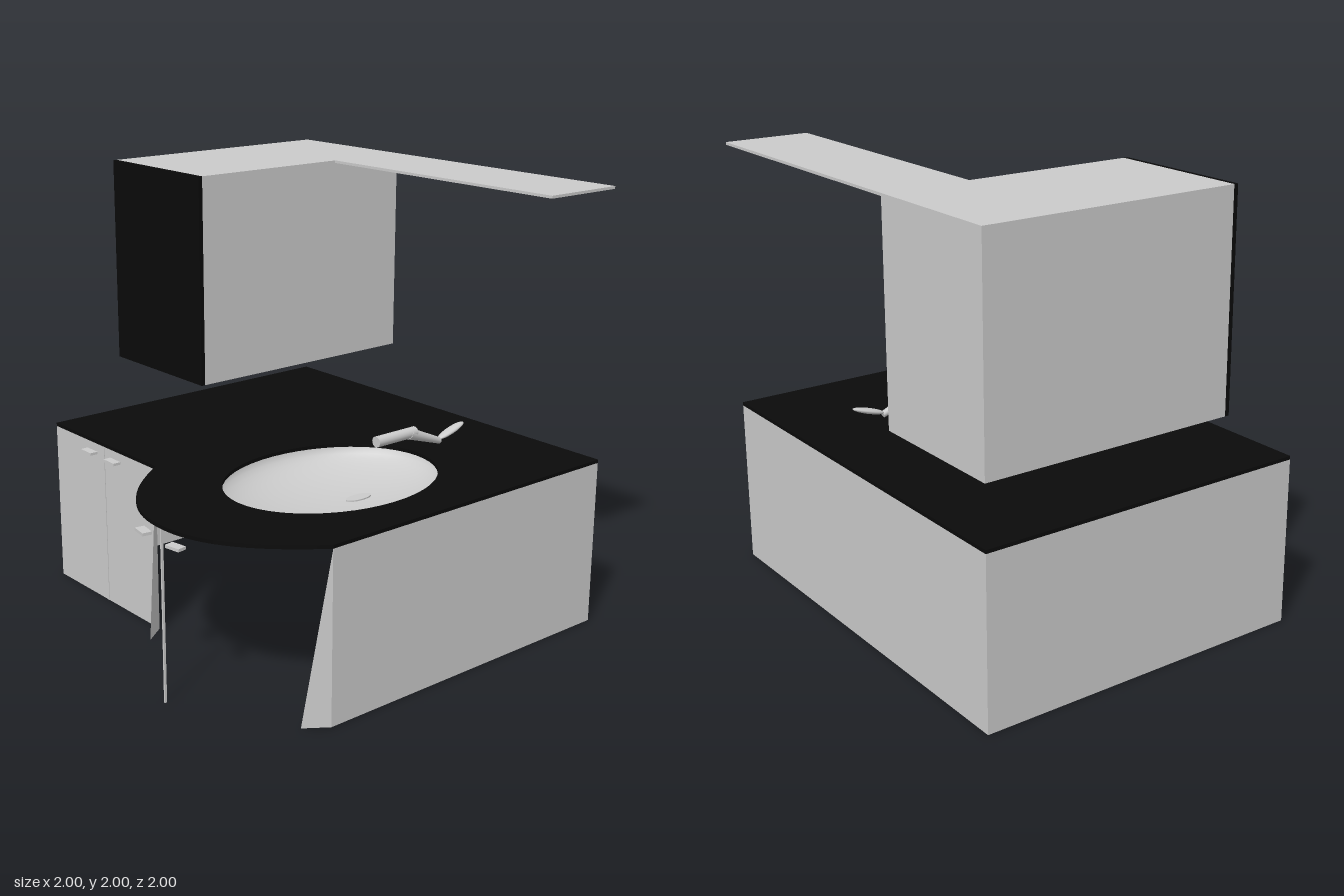
import * as THREE from 'three';

const grey = new THREE.MeshStandardMaterial({ color: 0xcccccc });
const sheet = new THREE.MeshStandardMaterial({ color: 0xcccccc, side: THREE.DoubleSide });
const black = new THREE.MeshStandardMaterial({ color: 0x0a0a0a });

const TOP = 0.78, SLAB = 0.016, WALL = TOP - SLAB;
const FRONT = 0.57, BASIN_X = 0.41, BASIN_Z = 0.06, HALF = 0.59;

function add(parent, name, geometry, material = grey) {
  const mesh = new THREE.Mesh(geometry, material);
  mesh.name = name;
  parent.add(mesh);
  return mesh;
}

// Box given by its minimum and maximum corners
function box(parent, name, [x0, y0, z0], [x1, y1, z1], material) {
  const mesh = add(parent, name, new THREE.BoxGeometry(x1 - x0, y1 - y0, z1 - z0), material);
  mesh.position.set((x0 + x1) / 2, (y0 + y1) / 2, (z0 + z1) / 2);
  return mesh;
}

// Thin upright panel between two floor points
function panel(parent, name, [xa, za], [xb, zb]) {
  const mesh = add(parent, name, new THREE.PlaneGeometry(Math.hypot(xb - xa, zb - za), WALL), sheet);
  mesh.position.set((xa + xb) / 2, WALL / 2, (za + zb) / 2);
  mesh.rotation.y = Math.atan2(-(zb - za), xb - xa);
}

// Round rod from a to b
function rod(parent, name, a, b, ra, rb) {
  const from = new THREE.Vector3(...a), to = new THREE.Vector3(...b);
  const dir = to.clone().sub(from);
  const mesh = add(parent, name, new THREE.CylinderGeometry(rb, ra, dir.length(), 20));
  mesh.position.copy(from).add(to).multiplyScalar(0.5);
  mesh.quaternion.setFromUnitVectors(new THREE.Vector3(0, 1, 0), dir.normalize());
}

function makeCountertop(parent) {
  // Outline with a bowed front around the basin
  const shape = new THREE.Shape();
  shape.moveTo(-1, -1);
  shape.lineTo(1, -1);
  const steps = 32;
  for (let i = 0; i <= steps; i++) {
    const u = 1 - (2 * i) / steps;
    shape.lineTo(BASIN_X + u * HALF, FRONT + 0.39 * (1 - Math.abs(u) ** 2.2));
  }
  shape.lineTo(-1, FRONT);
  shape.closePath();
  const hole = new THREE.Path();
  hole.absellipse(BASIN_X, BASIN_Z, 0.4, 0.51, 0, Math.PI * 2, true);
  shape.holes.push(hole);
  const geometry = new THREE.ExtrudeGeometry(shape, { depth: SLAB, bevelEnabled: false, curveSegments: 24 });
  geometry.rotateX(Math.PI / 2);
  add(parent, 'countertop', geometry, black).position.y = TOP;
}

function makeBasin(parent) {
  const points = [];
  for (let i = 0; i <= 12; i++) {
    const a = (i / 12) * Math.PI / 2;
    points.push(new THREE.Vector2(Math.sin(a), -Math.cos(a)));
  }
  const bowl = add(parent, 'basin', new THREE.LatheGeometry(points, 48), sheet);
  bowl.scale.set(0.42, 0.14, 0.55);
  bowl.position.set(BASIN_X, WALL, BASIN_Z);

  const drain = add(parent, 'drain', new THREE.CylinderGeometry(1, 1, 0.006, 24));
  drain.scale.set(0.03, 1, 0.07);
  drain.position.set(BASIN_X, 0.645, -0.1);
}

function makeBase(parent) {
  panel(parent, 'backWall', [-1, -1], [1, -1]);
  panel(parent, 'leftSideWall', [1, -1], [1, FRONT]);
  panel(parent, 'rightSideWall', [-1, -1], [-1, FRONT]);
  panel(parent, 'cupboardFront', [-1, FRONT], [-0.18, FRONT]);
  // Slanted slivers at both ends of the open bow
  for (const s of [-1, 1]) {
    const x = BASIN_X + s * HALF;
    const geometry = new THREE.BufferGeometry().setFromPoints([
      new THREE.Vector3(x, WALL, FRONT),
      new THREE.Vector3(x, 0, FRONT),
      new THREE.Vector3(x - s * 0.07, 0, 0.67),
    ]);
    geometry.setIndex(s < 0 ? [0, 1, 2] : [0, 2, 1]);
    geometry.computeVertexNormals();
    add(parent, 'bowEdge', geometry, sheet);
  }
  // Door seams
  box(parent, 'cupboardSeam', [-0.593, 0, 0.565], [-0.587, WALL, 0.573]);
  box(parent, 'bowSeam', [0.406, 0, 0.952], [0.414, WALL, 0.962]);
  // Door handles
  for (const x of [-0.69, -0.5]) {
    box(parent, 'cupboardHandle', [x - 0.041, 0.713, FRONT], [x + 0.041, 0.725, 0.607]);
  }
  for (const s of [-1, 1]) {
    const x = BASIN_X + s * 0.11;
    box(parent, 'bowHandle', [x - 0.037, 0.717, 0.948], [x + 0.037, 0.73, 0.99]).rotation.y = s * 0.17;
  }
}

function makeFaucet(parent) {
  const x = BASIN_X;
  rod(parent, 'spout', [x, 0.88, -0.2], [x, 0.88, -0.435], 0.025, 0.025);
  rod(parent, 'neck', [x, 0.878, -0.4], [x, 0.805, -0.595], 0.027, 0.015);
  const lever = add(parent, 'lever', new THREE.SphereGeometry(1, 24, 12));
  lever.scale.set(0.025, 0.013, 0.085);
  lever.position.set(x, 0.838, -0.667);
  lever.rotation.x = 0.3;
}

export function createModel() {
  const model = new THREE.Group();
  model.name = 'washstand';
  const parts = { baseCabinet: makeBase, worktop: makeCountertop, sink: makeBasin, faucet: makeFaucet };
  for (const [name, make] of Object.entries(parts)) {
    const group = new THREE.Group();
    group.name = name;
    make(group);
    model.add(group);
  }
  // Wall cabinet with a dark door, and the thin shelf beside it
  box(model, 'wallCabinet', [-1, 1.045, -1], [-0.33, 2, 0.18]);
  box(model, 'wallCabinetDoor', [-1, 1.045, 0.18], [-0.33, 2, 0.2], black);
  box(model, 'topShelf', [-0.33, 1.988, -1], [1, 2, -0.6]);
  return model;
}
